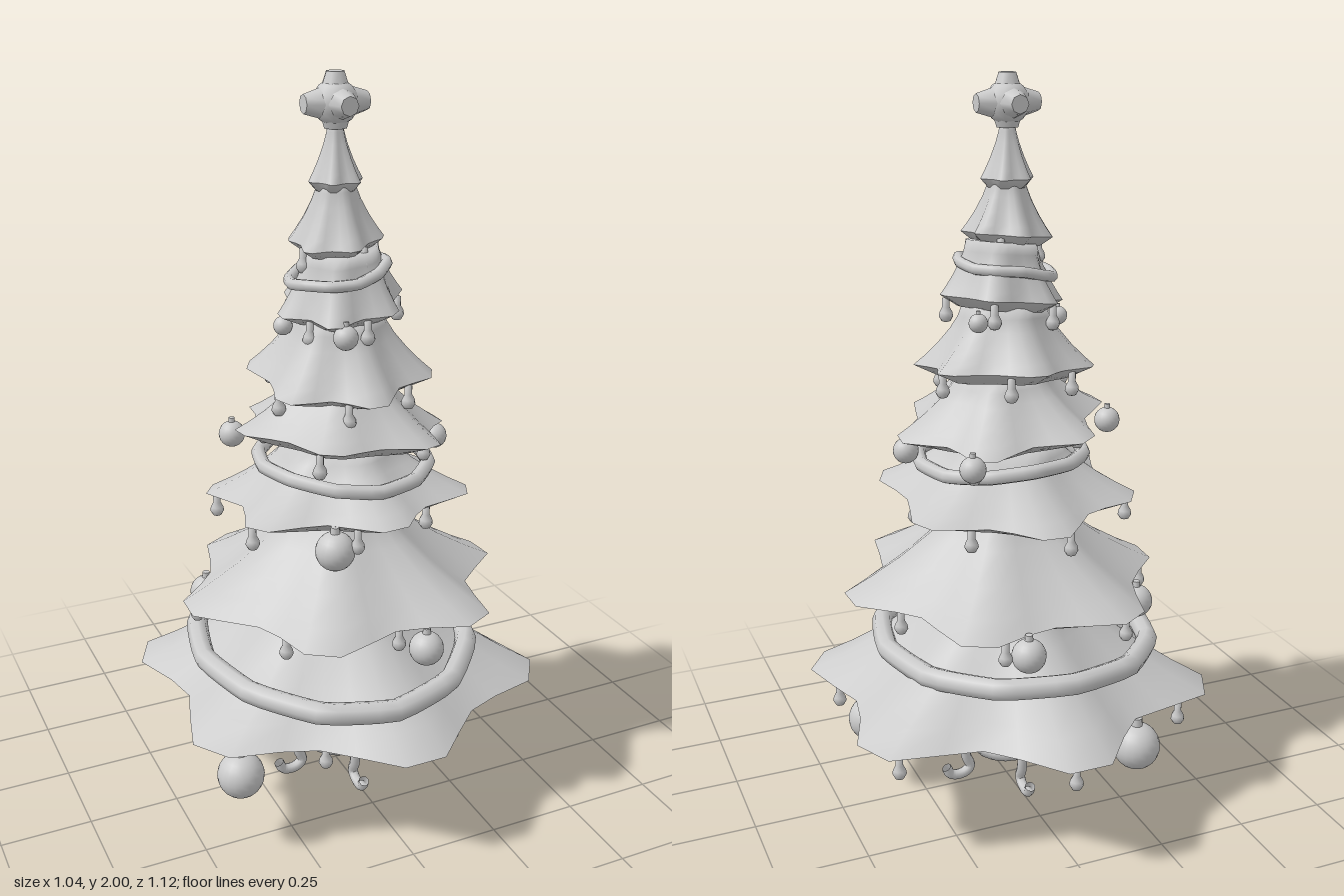
import * as THREE from 'three';

const mat = new THREE.MeshStandardMaterial({ color: 0xcccccc, side: THREE.DoubleSide });
const SEG = 30, LOBES = 6;

function add(parent, geo, name, x = 0, y = 0, z = 0) {
  const m = new THREE.Mesh(geo, mat);
  m.name = name;
  m.position.set(x, y, z);
  parent.add(m);
  return m;
}

// Skin closed rings of points, listed from bottom to top (or centre to rim)
function loft(rings) {
  const pos = rings.flat(2), idx = [], n = rings[0].length;
  for (let i = 0; i < rings.length - 1; i++)
    for (let j = 0; j < n; j++) {
      const a = i * n + j, b = i * n + (j + 1) % n;
      idx.push(a, a + n, b, b, a + n, b + n);
    }
  const g = new THREE.BufferGeometry();
  g.setAttribute('position', new THREE.Float32BufferAttribute(pos, 3));
  g.setIndex(idx);
  g.computeVertexNormals();
  return g;
}

// Branch tiers: centre, rim height, tip radius, height, top ratio, tilt along x and z, bulbs
const tiers = [
  { x: 0, z: 0, y: 0.328, R: 0.573, h: 0.32, top: 0.32, sx: 0, sz: 0, bulbs: 7 },
  { x: -0.007, z: 0.035, y: 0.62, R: 0.458, h: 0.26, top: 0.3, sx: 0, sz: 0.02, bulbs: 7 },
  { x: -0.01, z: 0.033, y: 0.888, R: 0.36, h: 0.15, top: 0.45, sx: 0, sz: 0.08, bulbs: 7 },
  { x: -0.005, z: 0.05, y: 1.08, R: 0.297, h: 0.15, top: 0.45, sx: -0.085, sz: 0.065, bulbs: 4 },
  { x: -0.01, z: 0.038, y: 1.235, R: 0.248, h: 0.17, top: 0.5, sx: 0.04, sz: -0.11, bulbs: 6 },
  { x: -0.005, z: 0.043, y: 1.42, R: 0.173, h: 0.15, top: 0.62, sx: 0.11, sz: -0.09, bulbs: 5 },
  { x: -0.02, z: 0.043, y: 1.588, R: 0.123, h: 0.16, top: 0.4, sx: 0.1, sz: -0.08, bulbs: 3 },
  { x: -0.02, z: 0.04, y: 1.735, R: 0.073, h: 0.15, top: 0.28, sx: 0, sz: 0, bulbs: 0 },
];

// Point on a ring of rounded lobes; alternate tiers are turned by half a lobe
function rimPoint(t, i, a, scale, wave, dy) {
  const lobe = Math.sin(1.3 * Math.cos(LOBES * a) * (i % 2 ? 1 : -1)) / Math.sin(1.3);
  const uneven = 0.015 * Math.sin(7 * a + i);
  const r = t.R * 0.89 * scale * (1 + wave * (0.12 * lobe + uneven));
  const x = r * Math.cos(a), z = r * Math.sin(a);
  return [x, dy + t.sx * x + t.sz * z, z];
}

// Each lobe tip falls midway between two points, which makes it blunt
function ring(t, i, scale, wave, dy) {
  return Array.from({ length: SEG }, (_, j) =>
    rimPoint(t, i, ((j + (i % 2) / 2) / SEG) * Math.PI * 2, scale, wave, dy));
}

function addTier(root, t, i) {
  const g = new THREE.Group();
  g.name = 'branchTier' + (i + 1);
  g.position.set(t.x, t.y, t.z);
  root.add(g);
  const upper = [0, 0.15, 0.35, 0.6, 0.8, 1].map(s =>
    ring(t, i, t.top + (1 - t.top) * (1 - s) ** 1.5, 1 - s * 0.85, s * t.h));
  upper.push(ring(t, i, 0.001, 0, t.h));
  add(g, loft(upper), 'branchTop');
  const drop = -(0.02 + 0.045 * t.R);
  add(g, loft([ring(t, i, 0.001, 0, drop * 0.8), ring(t, i, 0.75, 0.6, drop), ring(t, i, 1, 1, 0)]), 'branchUnderside');
  // Small drop bulbs hanging below the rim
  for (let k = 0; k < t.bulbs; k++) {
    const a = ((k + 0.3 + i * 0.37) / t.bulbs) * Math.PI * 2;
    const p = rimPoint(t, i, a, 0.92, 1, 0);
    add(g, bulbGeo, 'dropBulb', p[0], p[1] - 0.01, p[2]);
  }
}

// Teardrop bulb with a narrow cap
const bulbGeo = new THREE.LatheGeometry(
  [[0, -0.065], [0.012, -0.061], [0.019, -0.049], [0.017, -0.037], [0.01, -0.024], [0.01, 0], [0, 0.004]]
    .map(p => new THREE.Vector2(...p)), 10);

// Tilted garland ring
function addGarland(root, x, y, z, rx, rz, sx, sz, tube) {
  const pts = Array.from({ length: 12 }, (_, j) => {
    const a = (j / 12) * Math.PI * 2, px = rx * Math.cos(a), pz = rz * Math.sin(a);
    return new THREE.Vector3(px, sx * px + sz * pz + 0.006 * Math.sin(3 * a), pz);
  });
  const curve = new THREE.CatmullRomCurve3(pts, true, 'catmullrom', 0.2);
  add(root, new THREE.TubeGeometry(curve, 48, tube, 8, true), 'garland', x, y, z);
}

function addBauble(root, [x, y, z, r]) {
  const g = new THREE.Group();
  g.name = 'bauble';
  g.position.set(x, y, z);
  add(g, new THREE.SphereGeometry(r, 20, 14), 'ball');
  add(g, new THREE.CylinderGeometry(r * 0.22, r * 0.25, r * 0.4, 10), 'baubleCap', 0, r * 1.1, 0);
  root.add(g);
}

export function createModel() {
  const root = new THREE.Group();
  root.name = 'decoratedTree';
  tiers.forEach((t, i) => addTier(root, t, i));

  // Garlands
  addGarland(root, -0.03, 0.453, 0.025, 0.375, 0.42, 0.01, -0.045, 0.03);
  addGarland(root, 0, 0.988, 0.045, 0.228, 0.235, -0.04, -0.03, 0.02);
  addGarland(root, -0.015, 1.502, 0.043, 0.127, 0.122, 0.16, 0, 0.015);

  // Baubles: x, y, z, radius
  [
    [-0.405, 0.235, 0.28, 0.063], [-0.235, 0.235, -0.365, 0.065], [0.39, 0.23, 0.065, 0.063],
    [0.08, 0.56, 0.395, 0.046], [0.08, 0.56, -0.35, 0.046], [-0.335, 0.56, -0.15, 0.046],
    [-0.135, 0.84, 0.29, 0.052], [0.265, 1.015, 0.07, 0.035], [-0.285, 1.07, -0.04, 0.035],
    [0.17, 1.03, -0.19, 0.035], [-0.06, 1.37, 0.19, 0.032], [0.11, 1.385, -0.08, 0.025],
    [-0.155, 1.365, 0.01, 0.025],
  ].forEach(b => addBauble(root, b));

  // Trunk and the collar of the stand
  const cz = 0.018, cx = -0.005;
  add(root, new THREE.CylinderGeometry(0.082, 0.064, 0.22, 10), 'trunk', cx, 0.24, cz);
  const collar = [[0, 0.08], [0.095, 0.08], [0.095, 0.1], [0.088, 0.105], [0.088, 0.175], [0.098, 0.18], [0.098, 0.197], [0, 0.197]]
    .map(p => new THREE.Vector2(...p));
  add(root, new THREE.LatheGeometry(collar, 16), 'standCollar', cx, 0, cz);

  // Four S-shaped legs
  const path = new THREE.CatmullRomCurve3(
    [[0.1, 0.205], [0.096, 0.175], [0.127, 0.125], [0.124, 0.07], [0.112, 0.035], [0.135, 0.017], [0.172, 0.02], [0.186, 0.045]]
      .map(([x, y]) => new THREE.Vector3(x, y, 0)));
  const legGeo = new THREE.TubeGeometry(path, 28, 0.015, 8);
  for (let k = 0; k < 4; k++)
    add(root, legGeo, 'standLeg', cx, 0, cz).rotation.y = (k * Math.PI) / 2;

  // Star topper: a core with six blunt arms
  const star = new THREE.Group();
  star.name = 'starTopper';
  star.position.set(-0.02, 1.925, 0.04);
  root.add(star);
  add(star, new THREE.SphereGeometry(0.058, 12, 8), 'starCore');
  const arm = (name, len, tip) => {
    const g = new THREE.CylinderGeometry(tip, 0.05, len, 8);
    g.translate(0, len / 2, 0);
    return add(star, g, name);
  };
  for (let k = 0; k < 4; k++) {
    const m = arm('starArm', 0.086, 0.024);
    m.rotation.set(0, (k * Math.PI) / 2, -Math.PI / 2, 'YXZ');
  }
  arm('starTip', 0.075, 0.024);
  arm('starFoot', 0.062, 0.03).rotation.x = Math.PI;
  return root;
}
